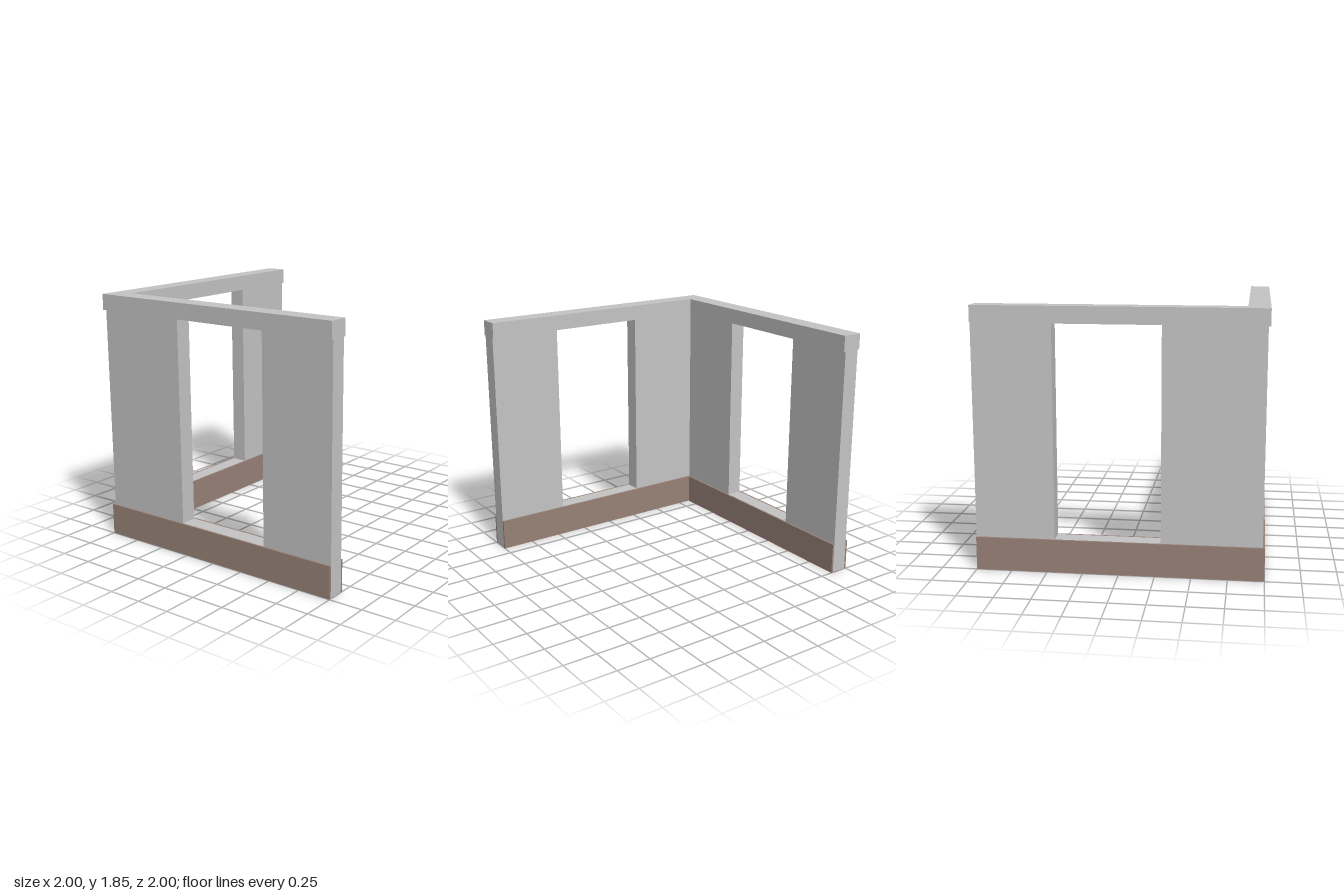
import * as THREE from 'three';

export function createModel() {
  const model = new THREE.Group();
  model.name = 'cornerWall';

  const plaster = new THREE.MeshStandardMaterial({ color: 0xc5c4c4 });
  plaster.name = 'grey plaster';
  const wood = new THREE.MeshStandardMaterial({ color: 0x988278 });
  wood.name = 'brown skirting';

  const END = 1;                       // free ends of both arms
  const OUT = 1, IN = 0.85;            // faces of cap and skirting
  const CORE_OUT = 0.985, CORE_IN = 0.865;
  const BASE = 0.235, HEAD = 1.733, TOP = 1.85;
  const PLATE = 0.002;

  // L-shaped band: one arm along the front, one along the -x side
  function addBand(name, material, outer, inner, end, y0, y1) {
    const shape = new THREE.Shape([
      [-outer, outer], [end, outer], [end, inner],
      [-inner, inner], [-inner, -end], [-outer, -end],
    ].map(([x, z]) => new THREE.Vector2(x, -z)));
    const geometry = new THREE.ExtrudeGeometry(shape, { depth: y1 - y0, bevelEnabled: false });
    geometry.rotateX(-Math.PI / 2).translate(0, y0, 0);
    const mesh = new THREE.Mesh(geometry, material);
    mesh.name = name;
    model.add(mesh);
  }

  // Sill, with skirting on both faces and underneath
  addBand('sillCore', plaster, CORE_OUT, CORE_IN, END, PLATE, BASE);
  addBand('outerSkirting', wood, OUT, CORE_OUT, END, PLATE, BASE);
  addBand('innerSkirting', wood, CORE_IN, IN, END, PLATE, BASE);
  addBand('basePlate', wood, OUT, IN, END, 0, PLATE);

  // Corner pier and top beam
  addBand('cornerPier', plaster, CORE_OUT, CORE_IN, -0.292, BASE, HEAD);
  addBand('topBeam', plaster, OUT, IN, END, HEAD, TOP);

  // Piers at the free ends, beyond the openings
  const pierStart = 0.445;
  const length = END - pierStart, thick = CORE_OUT - CORE_IN;
  const along = (END + pierStart) / 2, across = (CORE_OUT + CORE_IN) / 2;
  for (const side of [false, true]) {
    const pier = new THREE.Mesh(
      new THREE.BoxGeometry(side ? thick : length, HEAD - BASE, side ? length : thick), plaster);
    pier.position.set(side ? -across : along, (HEAD + BASE) / 2, side ? -along : across);
    pier.name = side ? 'sideEndPier' : 'frontEndPier';
    model.add(pier);
  }

  return model;
}
